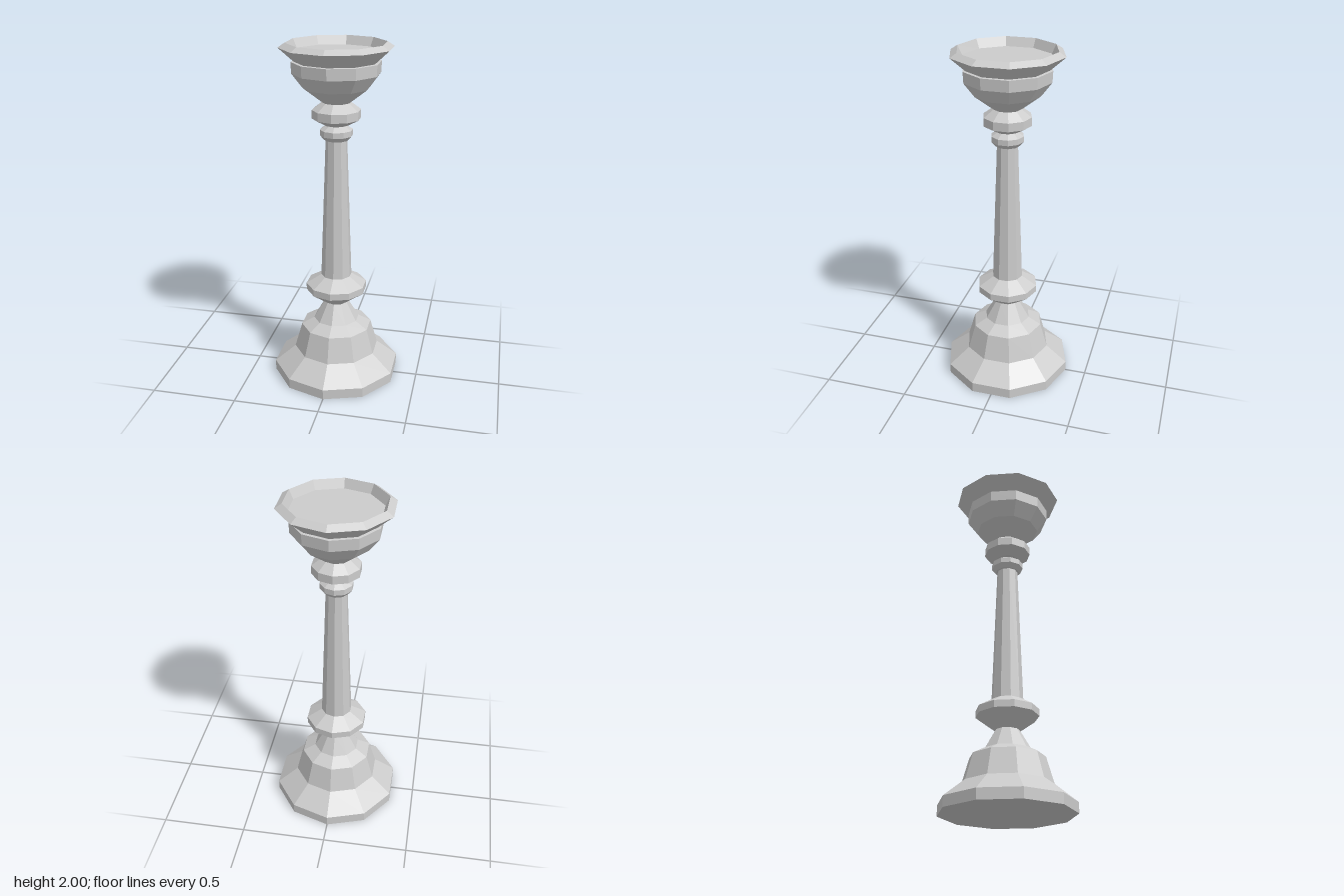
import * as THREE from 'three';

const SIDES = 10;

export function createModel() {
  const group = new THREE.Group();
  const material = new THREE.MeshStandardMaterial({ color: 0xcccccc, flatShading: true });

  // Ten-sided turned part from [radius, height] pairs, listed bottom to top
  const turned = (name, profile) => {
    const points = profile.map(([r, y]) => new THREE.Vector2(r, y));
    const mesh = new THREE.Mesh(new THREE.LatheGeometry(points, SIDES), material);
    mesh.name = name;
    group.add(mesh);
  };

  // Stepped foot with closed underside
  turned('base', [[0, 0], [0.377, 0], [0.377, 0.06], [0.253, 0.16], [0.21, 0.31], [0.135, 0.35], [0.07, 0.462]]);

  // Wide ring between foot and shaft
  turned('lowerKnob', [[0.07, 0.462], [0.179, 0.543], [0.179, 0.583], [0.09, 0.637]]);

  // Tapered column
  turned('shaft', [[0.09, 0.637], [0.061, 1.464]]);

  // Two rings under the cup
  turned('lowerCollar', [[0.061, 1.464], [0.07, 1.464], [0.093, 1.49], [0.093, 1.522], [0.05, 1.55]]);
  turned('upperCollar', [[0.05, 1.55], [0.07, 1.55], [0.137, 1.586], [0.137, 1.634], [0.08, 1.676]]);

  // Cup with flared rim and shallow recessed dish
  turned('cup', [
    [0.08, 1.676], [0.185, 1.756], [0.245, 1.835], [0.248, 1.898],
    [0.232, 1.9], [0.316, 1.975], [0.277, 2], [0.253, 1.95], [0, 1.95],
  ]);

  return group;
}
